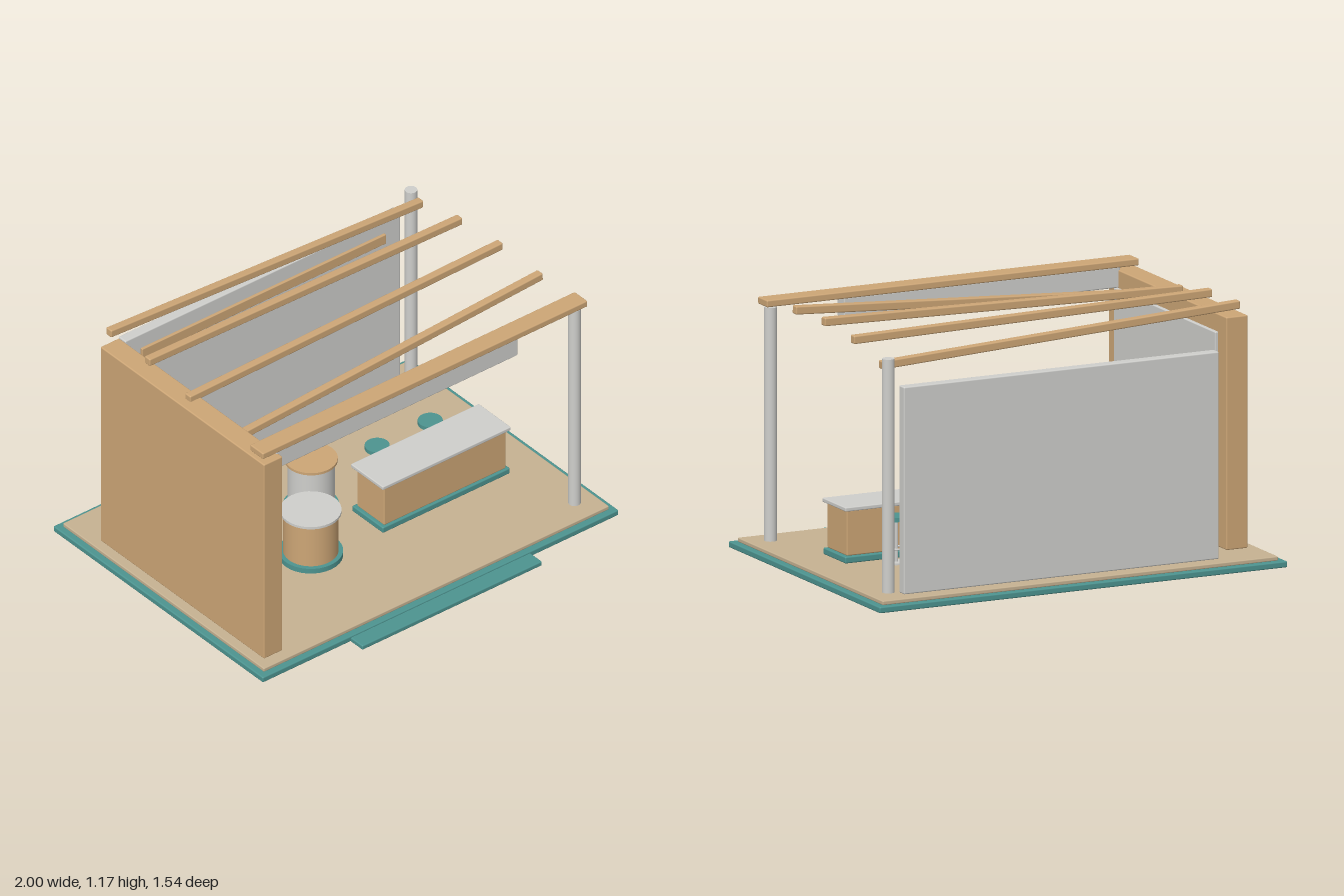
import * as THREE from 'three';
import { RoundedBoxGeometry } from 'three/addons/geometries/RoundedBoxGeometry.js';

const material = (name, color) => {
  const m = new THREE.MeshStandardMaterial({ color });
  m.name = name;
  return m;
};

export function createModel() {
  const teal = material('teal', 0x4d9490);
  const wood = material('wood', 0xcda676);
  const white = material('offWhite', 0xcfcfcc);
  const sand = material('sandFloor', 0xc6b292);

  const model = new THREE.Group();
  model.name = 'exhibitionBooth';

  const add = (parent, name, geometry, mat) => {
    const mesh = new THREE.Mesh(geometry, mat);
    mesh.name = name;
    parent.add(mesh);
    return mesh;
  };
  // Softly edged box given by its extents on each axis
  const box = (parent, name, mat, [x0, x1], [y0, y1], [z0, z1]) => {
    const w = x1 - x0, h = y1 - y0, d = z1 - z0;
    const r = Math.min(0.006, Math.min(w, h, d) * 0.25);
    const mesh = add(parent, name, new RoundedBoxGeometry(w, h, d, 2, r), mat);
    mesh.position.set((x0 + x1) / 2, (y0 + y1) / 2, (z0 + z1) / 2);
    return mesh;
  };
  // Upright cylinder between two heights
  const drum = (parent, name, mat, r, y0, y1, sides = 32) => {
    const mesh = add(parent, name, new THREE.CylinderGeometry(r, r, y1 - y0, sides), mat);
    mesh.position.y = (y0 + y1) / 2;
    return mesh;
  };
  const group = (name, x, z) => {
    const g = new THREE.Group();
    g.name = name;
    g.position.set(x, 0, z);
    model.add(g);
    return g;
  };

  // Platform
  box(model, 'platform', teal, [-1, 1], [0.003, 0.031], [-0.77, 0.69]);
  box(model, 'frontStep', teal, [-0.505, 0.505], [0, 0.023], [0.68, 0.77]);
  box(model, 'floor', sand, [-0.97, 0.97], [0.03, 0.05], [-0.74, 0.66]);

  // Walls
  box(model, 'sideWall', wood, [-0.925, -0.82], [0.05, 1.095], [-0.535, 0.605]);
  box(model, 'sideWallPanel', white, [-0.825, -0.805], [0.09, 1.015], [-0.455, 0.525]);
  box(model, 'backWall', white, [-0.715, 0.83], [0.05, 0.98], [-0.67, -0.62]);
  box(model, 'backWallStrip', wood, [-0.63, 0.74], [0.857, 0.907], [-0.622, -0.606]);

  // Posts
  for (const [name, z] of [['frontPost', 0.545], ['backPost', -0.593]]) {
    drum(group(name, 0.868, z), name, white, 0.028, 0.05, 1.098, 24);
  }

  // Front beam and fascia
  box(model, 'frontBeam', wood, [-0.915, 0.91], [1.108, 1.14], [0.495, 0.585]);
  box(model, 'fascia', white, [-0.83, 0.525], [1.015, 1.11], [0.508, 0.576]);

  // Rafters, each at its own tilt: [z, left height, right height]
  const rafters = [
    [-0.535, 1.15, 1.058], [-0.265, 1.147, 1.117],
    [0.017, 1.105, 1.14], [0.298, 1.03, 1.135],
  ];
  rafters.forEach(([z, yStart, yEnd]) => {
    const rafter = box(model, 'rafter', wood, [-0.88, 0.878], [0, 0.037], [z - 0.019, z + 0.019]);
    rafter.position.y = (yStart + yEnd) / 2;
    rafter.rotation.z = Math.atan2(yEnd - yStart, 1.757);
  });

  // Counter
  box(model, 'counterPlinth', teal, [0.07, 0.785], [0.05, 0.08], [-0.015, 0.2]);
  box(model, 'counterBody', wood, [0.085, 0.77], [0.08, 0.284], [0, 0.19]);
  box(model, 'counterTop', white, [0.067, 0.787], [0.284, 0.303], [-0.021, 0.204]);

  // Stools behind the counter
  for (const x of [0.28, 0.578]) {
    const stool = group('stool', x, -0.1);
    drum(stool, 'stoolFoot', white, 0.045, 0.05, 0.058);
    drum(stool, 'stoolStem', white, 0.008, 0.055, 0.247, 12);
    const ring = add(stool, 'footRing', new THREE.TorusGeometry(0.036, 0.004, 8, 32), white);
    ring.position.y = 0.118;
    ring.rotation.x = Math.PI / 2;
    drum(stool, 'stoolSeat', teal, 0.055, 0.245, 0.264);
  }

  // Round display pedestals: [x, z, body radius, base radius, top radius, height, body, top]
  const pedestals = [
    [-0.275, 0.125, 0.122, 0.142, 0.135, 0.295, wood, white],
    [-0.055, -0.145, 0.104, 0.123, 0.117, 0.322, white, wood],
    [-0.485, -0.008, 0.09, 0.103, 0.103, 0.233, white, teal],
  ];
  for (const [x, z, r, baseR, topR, h, bodyMat, topMat] of pedestals) {
    const p = group('pedestal', x, z);
    drum(p, 'pedestalBase', teal, baseR, 0.05, 0.075);
    drum(p, 'pedestalBody', bodyMat, r, 0.075, h - 0.01);
    drum(p, 'pedestalTop', topMat, topR, h - 0.012, h);
  }

  // Turned information kiosk
  const kiosk = group('kiosk', -0.575, -0.39);
  kiosk.rotation.y = 0.483;
  box(kiosk, 'kioskBase', teal, [-0.118, 0.118], [0.05, 0.078], [-0.06, 0.06]);
  box(kiosk, 'kioskPanel', white, [-0.103, 0.103], [0.078, 0.665], [-0.012, 0.02]);
  box(kiosk, 'kioskScreen', teal, [-0.085, 0.085], [0.24, 0.587], [0.018, 0.027]);

  return model;
}
